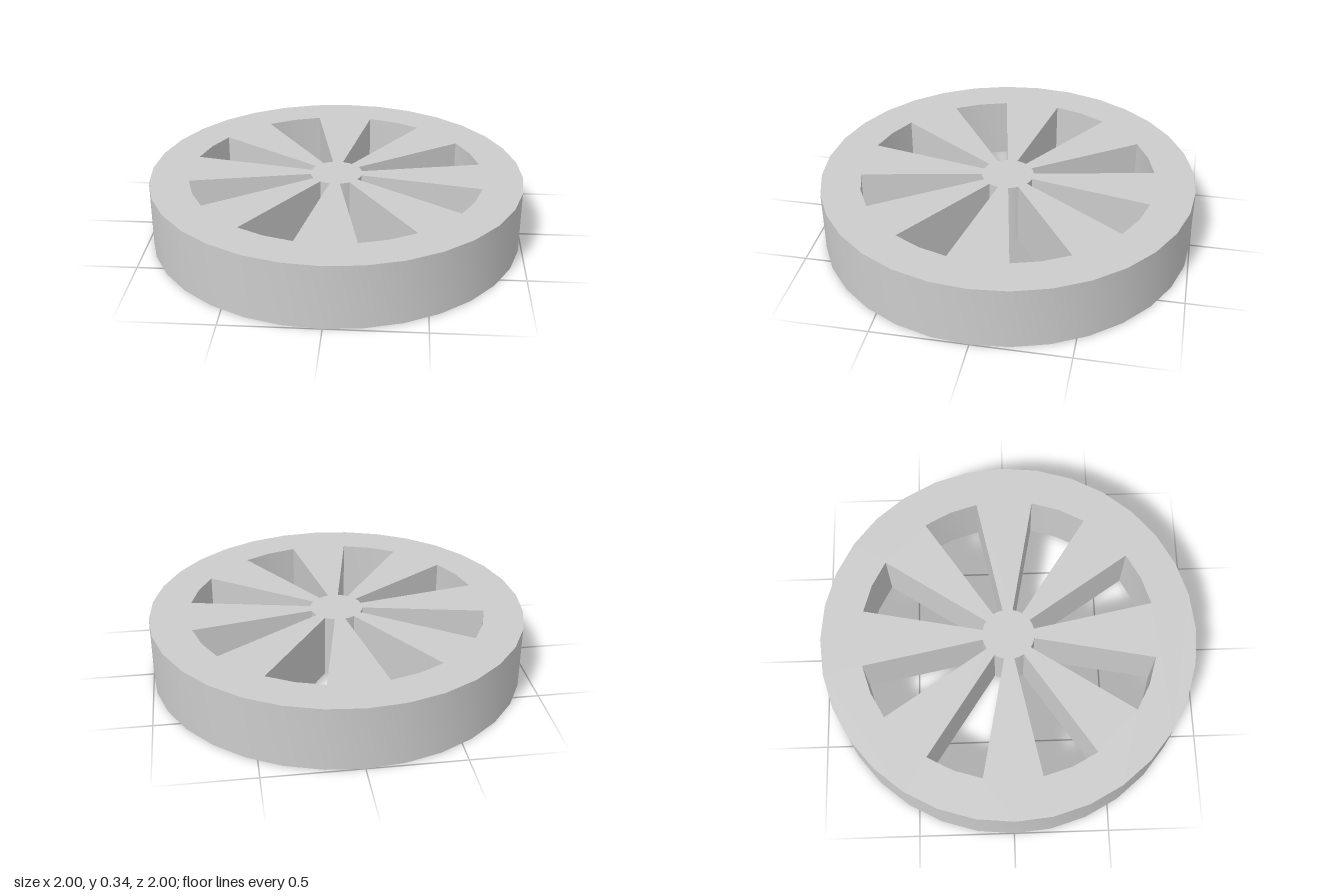
import * as THREE from 'three';
import { toCreasedNormals } from 'three/addons/utils/BufferGeometryUtils.js';

const STEP = Math.PI / 16; // the disc is a 32-sided round
const RIM_RADIUS = 1, SLOT_OUTER = 0.79, SLOT_INNER = 0.14, HEIGHT = 0.34;

// points on a circle, from step a to step b
function arc(radius, a, b) {
  const points = [];
  for (let i = a; i <= b; i++) {
    points.push(new THREE.Vector2(Math.cos(i * STEP) * radius, Math.sin(i * STEP) * radius));
  }
  return points;
}

export function createModel() {
  const group = new THREE.Group();
  group.name = 'spokedWheel';

  // round outline with eight wedge slots, leaving hub, spokes and rim
  const outline = new THREE.Shape(arc(RIM_RADIUS, 0, 31));
  for (let k = 0; k < 8; k++) {
    const a = k * 4 + 1, b = a + 2;
    outline.holes.push(new THREE.Path([
      ...arc(SLOT_OUTER, a, b),
      ...arc(SLOT_INNER, a, b).reverse(),
    ]));
  }

  // lay the extrusion flat on the ground
  const solid = new THREE.ExtrudeGeometry(outline, { depth: HEIGHT, bevelEnabled: false });
  solid.rotateX(-Math.PI / 2);

  const wheel = new THREE.Mesh(
    toCreasedNormals(solid, Math.PI / 6),
    new THREE.MeshStandardMaterial({ color: 0xcccccc })
  );
  wheel.name = 'wheelDisc';
  group.add(wheel);
  return group;
}
